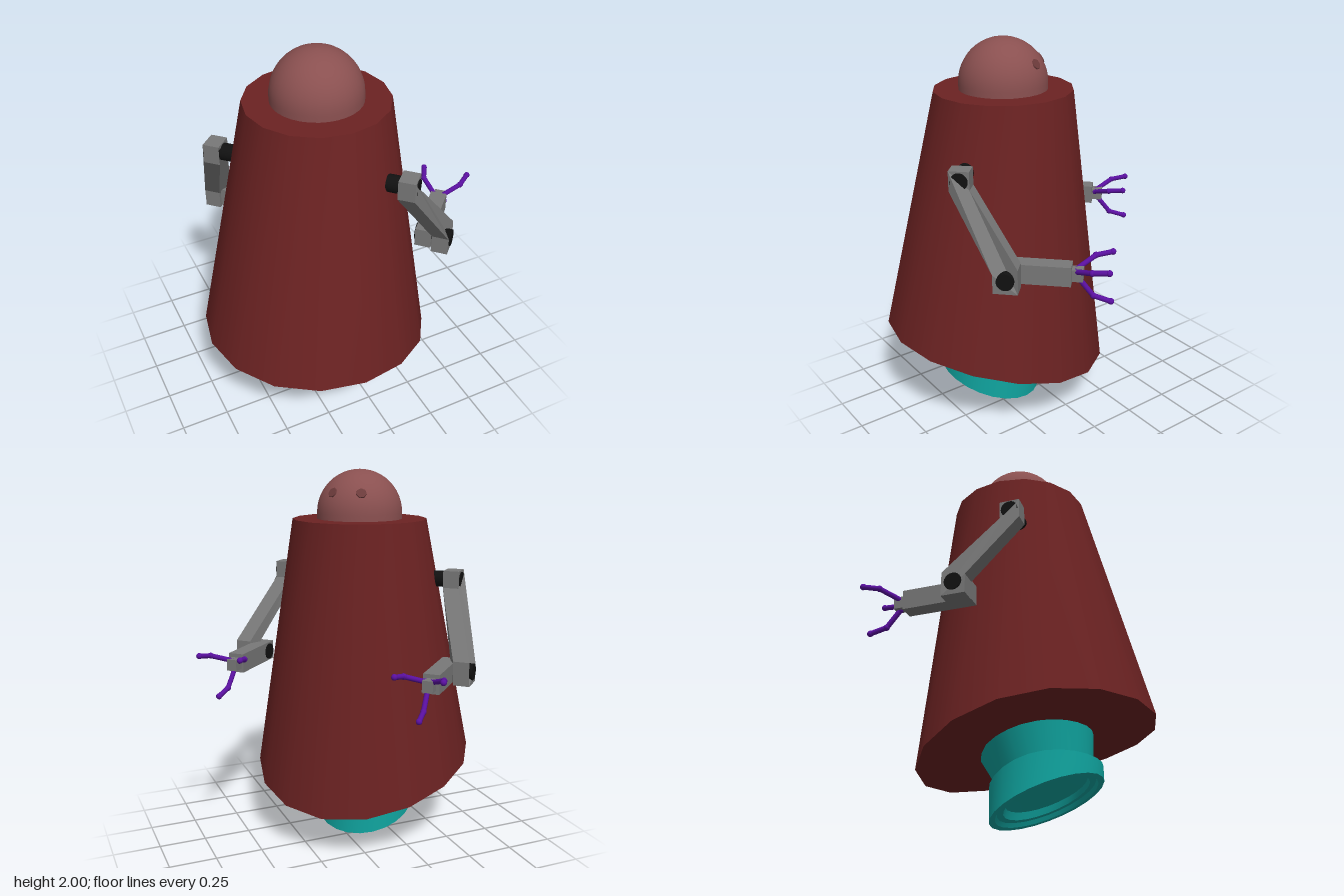
import * as THREE from 'three';
import { toCreasedNormals } from 'three/addons/utils/BufferGeometryUtils.js';

const mat = (color) => new THREE.MeshStandardMaterial({ color });

// Stacked rings [r, z, y, tilt, bend]; tilt and bend make each rim rise and fall around the ring.
function loft(rings, sides) {
  const pos = [], index = [];
  rings.forEach(([r, z, y, tilt = 0, bend = 0], j) => {
    for (let i = 0; i < sides; i++) {
      const a = (i / sides) * Math.PI * 2;
      pos.push(r * Math.sin(a), y + tilt * Math.cos(a) + bend * Math.cos(2 * a), z + r * Math.cos(a));
      if (j === rings.length - 1) continue;
      const n = (i + 1) % sides, p = j * sides, q = p + sides;
      index.push(p + i, p + n, q + n, p + i, q + n, q + i);
    }
  });
  const g = new THREE.BufferGeometry();
  g.setAttribute('position', new THREE.Float32BufferAttribute(pos, 3));
  g.setIndex(index);
  return toCreasedNormals(g, 0.6);
}

export function createModel() {
  const red = mat(0x6b2222), pink = mat(0x8a5050), teal = mat(0x10a5a0);
  const grey = mat(0x787878), black = mat(0x111111), purple = mat(0x5a10a0), eyeMat = mat(0x6e3c3c);

  const model = new THREE.Group();
  const robot = new THREE.Group(); // built facing +z, then turned to its diagonal heading
  robot.name = 'robot';
  robot.rotation.y = Math.PI * 0.75;
  model.add(robot);

  const add = (parent, name, geometry, material, x = 0, y = 0, z = 0) => {
    const m = new THREE.Mesh(geometry, material);
    m.name = name;
    m.position.set(x, y, z);
    parent.add(m);
    return m;
  };

  // Leaning conical body with a wavy lower rim
  add(robot, 'body', loft([
    [0.001, -0.2475, 0.4],
    [0.595, -0.2475, 0.39, -0.12, -0.03],
    [0.355, -0.18, 1.745],
    [0.001, -0.18, 1.745],
  ], 16), red);

  // Foot skirt with a recessed underside, and the neck joining it to the body
  add(robot, 'foot', loft([
    [0.001, -0.29, 0.15],
    [0.2, -0.29, 0.15, -0.07],
    [0.21, -0.29, 0.12, -0.078],
    [0.24, -0.29, 0.12, -0.088],
    [0.25, -0.29, 0.1, -0.09],
    [0.278, -0.29, 0.1, -0.1],
    [0.278, -0.29, 0.24, -0.055, -0.022],
    [0.235, -0.285, 0.25, -0.05, -0.022],
    [0.28, -0.25, 0.42, -0.09, -0.02],
    [0.001, -0.25, 0.42],
  ], 24), teal);

  // Domed head
  const dome = [new THREE.Vector2(0.225, -0.04)];
  for (let i = 0; i <= 12; i++) {
    const a = (i / 12) * Math.PI / 2;
    dome.push(new THREE.Vector2(i === 12 ? 0 : 0.225 * Math.cos(a), 0.225 * Math.sin(a)));
  }
  add(robot, 'head', new THREE.LatheGeometry(dome, 32), pink, 0, 1.775, -0.18);

  // Eyes set into the dome
  for (const s of [-1, 1]) {
    const dir = new THREE.Vector3(s * 0.078, 0.11, 0.177).normalize();
    const p = dir.clone().multiplyScalar(0.217);
    const eye = add(robot, 'eye', new THREE.CylinderGeometry(0.026, 0.034, 0.022, 7), eyeMat,
      p.x, p.y + 1.775, p.z - 0.18);
    eye.quaternion.setFromUnitVectors(new THREE.Vector3(0, 1, 0), dir);
  }

  // Upper arm: side profile (z, y), sheared outward between shoulder and elbow
  const profile = new THREE.Shape([
    [-0.345, 1.48], [-0.345, 1.38], [-0.12, 1.03], [-0.12, 0.935],
    [0, 0.935], [0, 1.06], [-0.245, 1.39], [-0.245, 1.48],
  ].map(([z, y]) => new THREE.Vector2(z, y)));
  function upperArm(s) {
    const g = new THREE.ExtrudeGeometry(profile, { depth: 0.084, bevelEnabled: false });
    g.translate(0, 0, -0.042).rotateY(-Math.PI / 2);
    const p = g.attributes.position;
    for (let i = 0; i < p.count; i++) {
      const k = THREE.MathUtils.clamp((1.38 - p.getY(i)) / 0.33, 0, 1);
      p.setX(i, p.getX(i) + s * (0.49 + 0.137 * k));
    }
    return toCreasedNormals(g, 0.3);
  }

  // Pivot pin running sideways from x0 to x1
  function pin(arm, name, s, x0, x1, y, z) {
    const g = new THREE.CylinderGeometry(0.043, 0.043, x1 - x0, 20).rotateZ(Math.PI / 2);
    add(arm, name, g, black, s * (x0 + x1) / 2, y, z);
  }

  // Finger made of straight rods with rounded joints
  function finger(arm, points) {
    const f = new THREE.Group();
    f.name = 'finger';
    arm.add(f);
    const pts = points.map((p) => new THREE.Vector3(...p));
    pts.forEach((p, i) => {
      add(f, 'fingerJoint', new THREE.SphereGeometry(0.016, 10, 8), purple, p.x, p.y, p.z);
      if (i === 0) return;
      const d = p.clone().sub(pts[i - 1]);
      const mid = p.clone().add(pts[i - 1]).multiplyScalar(0.5);
      const rod = add(f, 'fingerRod', new THREE.CylinderGeometry(0.013, 0.013, d.length(), 10), purple,
        mid.x, mid.y, mid.z);
      rod.quaternion.setFromUnitVectors(new THREE.Vector3(0, 1, 0), d.normalize());
    });
  }

  for (const s of [-1, 1]) {
    const arm = new THREE.Group();
    arm.name = s > 0 ? 'leftArm' : 'rightArm';
    robot.add(arm);
    add(arm, 'upperArm', upperArm(s), grey);
    pin(arm, 'shoulderPin', s, 0.385, 0.538, 1.43, -0.295);
    pin(arm, 'elbowPin', s, 0.49, 0.676, 1.0, -0.06);
    add(arm, 'forearm', new THREE.BoxGeometry(0.084, 0.1, 0.35), grey, s * 0.538, 1.0, 0.062);
    add(arm, 'wrist', new THREE.BoxGeometry(0.055, 0.06, 0.06), grey, s * 0.535, 1.0, 0.262);
    // Two upper fingers spreading apart and one lower finger
    for (const k of [-1, 1]) {
      finger(arm, [
        [s * (0.53 + k * 0.015), 1.015, 0.255],
        [s * (0.53 + k * 0.1), 1.055, 0.34],
        [s * (0.53 + k * 0.119), 1.07, 0.42],
      ]);
    }
    finger(arm, [[s * 0.53, 0.975, 0.27], [s * 0.533, 0.89, 0.34], [s * 0.538, 0.868, 0.425]]);
  }
  return model;
}
